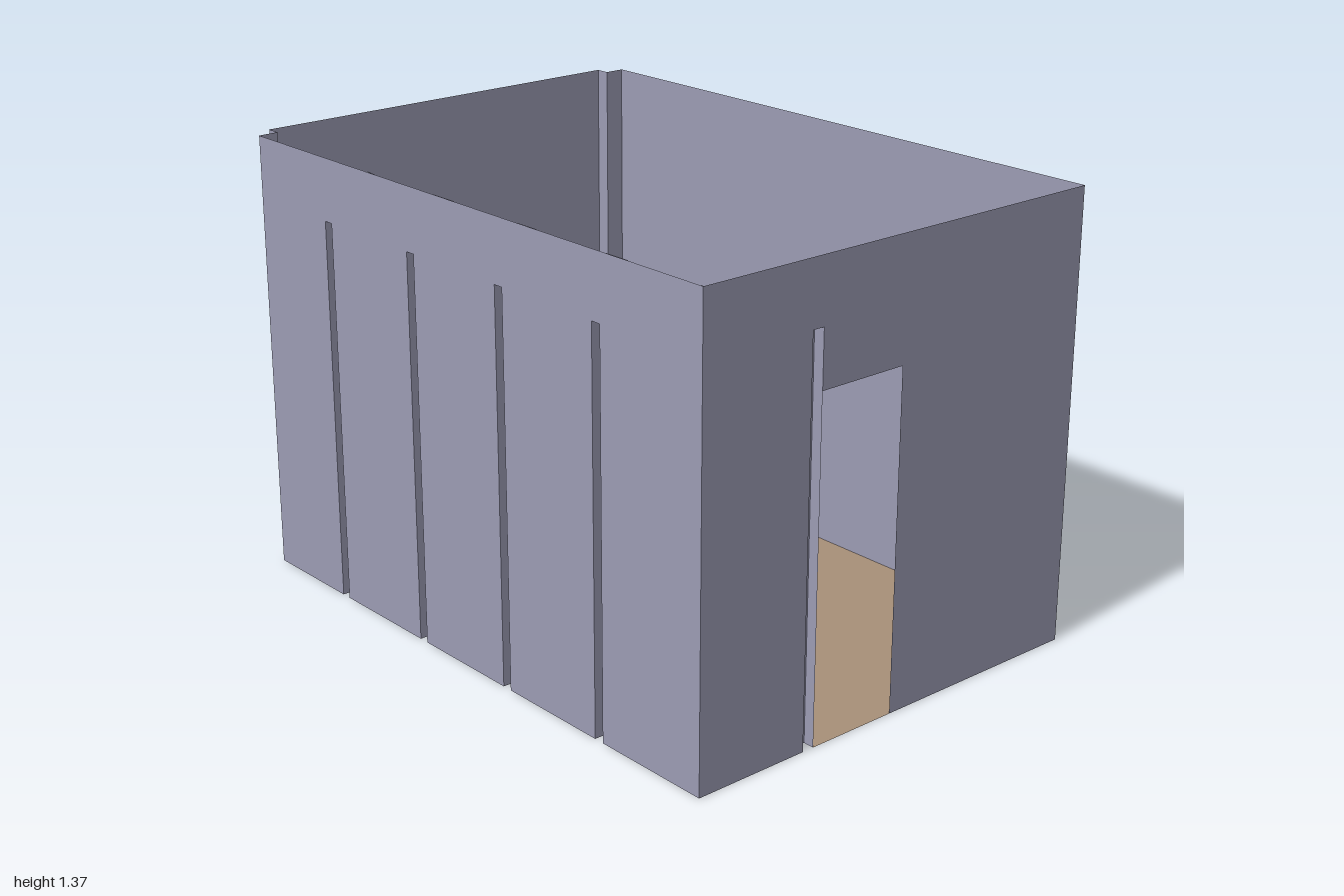
import * as THREE from 'three';
import { mergeGeometries } from 'three/addons/utils/BufferGeometryUtils.js';

const H = 1.37;          // room height
const PH = 1.18;         // pocket height
const DH = 1.01;         // doorway height
const X = 1, Z = 0.7;    // half width and depth
const BZ = 0.292, FZ = 0.33; // back and front of the pocket heads
const NX = -0.955, NZ = 0.637; // corner notches
const SIDE = 0.966;      // inner face of the side pockets
const STEM = 0.016;      // half width of a partition stem
const pockets = [[-0.603, 0.052], [-0.2, 0.043], [0.198, 0.047], [0.6, 0.057]]; // x, half head width

// Upright sheet between two [x, z] points
function sheet([x0, z0], [x1, z1], y0 = 0, y1 = H) {
  const g = new THREE.PlaneGeometry(Math.hypot(x1 - x0, z1 - z0), y1 - y0);
  g.rotateY(-Math.atan2(z1 - z0, x1 - x0));
  return g.translate((x0 + x1) / 2, (y0 + y1) / 2, (z0 + z1) / 2);
}

// Sheets following a path of [x, z] points
function ribbon(path, height) {
  return path.slice(1).map((p, i) => sheet(path[i], p, 0, height));
}

// T-shaped partition outline, open towards the front
function partitionPath([x, w]) {
  return [[x - STEM, Z], [x - STEM, FZ], [x - w, FZ], [x - w, BZ],
    [x + w, BZ], [x + w, FZ], [x + STEM, FZ], [x + STEM, Z]];
}

export function createModel() {
  const group = new THREE.Group();
  const wallMat = new THREE.MeshStandardMaterial({ color: 0x9c9cb4, side: THREE.DoubleSide });
  wallMat.name = 'wallGrey';
  const floorMat = new THREE.MeshStandardMaterial({ color: 0xa89079, side: THREE.DoubleSide });
  floorMat.name = 'floorTan';
  const add = (name, geometry, material = wallMat) => {
    const mesh = new THREE.Mesh(geometry, material);
    mesh.name = name;
    group.add(mesh);
  };

  const paths = pockets.map(partitionPath);
  const leftPocket = [[X, FZ], [SIDE, FZ], [SIDE, BZ], [X, BZ]];
  const rightPocket = [[-X, BZ], [-SIDE, BZ], [-SIDE, FZ], [-X, FZ]];
  const frontNotch = [[-X, NZ], [NX, NZ], [NX, Z]];
  const backNotch = [[NX, -Z], [NX, -NZ], [-X, -NZ]];

  // Floor cut out around every pocket and notch
  const outline = [...frontNotch, ...paths.flat(), [X, Z], ...leftPocket, [X, -Z], ...backNotch, ...rightPocket];
  const floor = new THREE.ShapeGeometry(new THREE.Shape(outline.map(([x, z]) => new THREE.Vector2(x, -z))));
  add('floor', floor.rotateX(-Math.PI / 2), floorMat);

  // Front wall with a slot at each partition
  const front = [];
  let x = NX;
  for (const [px] of pockets) {
    front.push(sheet([x, Z], [px - STEM, Z]), sheet([px - STEM, Z], [px + STEM, Z], PH));
    x = px + STEM;
  }
  front.push(sheet([x, Z], [X, Z]));
  add('frontWall', mergeGeometries(front));

  add('backWall', sheet([NX, -Z], [X, -Z]));

  // Side wall with the doorway beside its pocket
  add('doorWall', mergeGeometries([
    sheet([X, Z], [X, FZ]), sheet([X, FZ], [X, BZ], PH),
    sheet([X, BZ], [X, 0], DH), sheet([X, 0], [X, -Z]),
  ]));

  // Opposite side wall with its slot
  add('sideWall', mergeGeometries([
    sheet([-X, NZ], [-X, FZ]), sheet([-X, FZ], [-X, BZ], PH), sheet([-X, BZ], [-X, -NZ]),
  ]));

  // Recessed corners
  add('frontCorner', mergeGeometries(ribbon(frontNotch, H)));
  add('backCorner', mergeGeometries(ribbon(backNotch, H)));

  // Hollow partitions and side posts, open at top and bottom
  paths.forEach((path, i) => add(`partition${i + 1}`, mergeGeometries(ribbon(path, PH))));
  add('doorPost', mergeGeometries(ribbon(leftPocket, PH)));
  add('sidePost', mergeGeometries(ribbon(rightPocket, PH)));

  return group;
}
